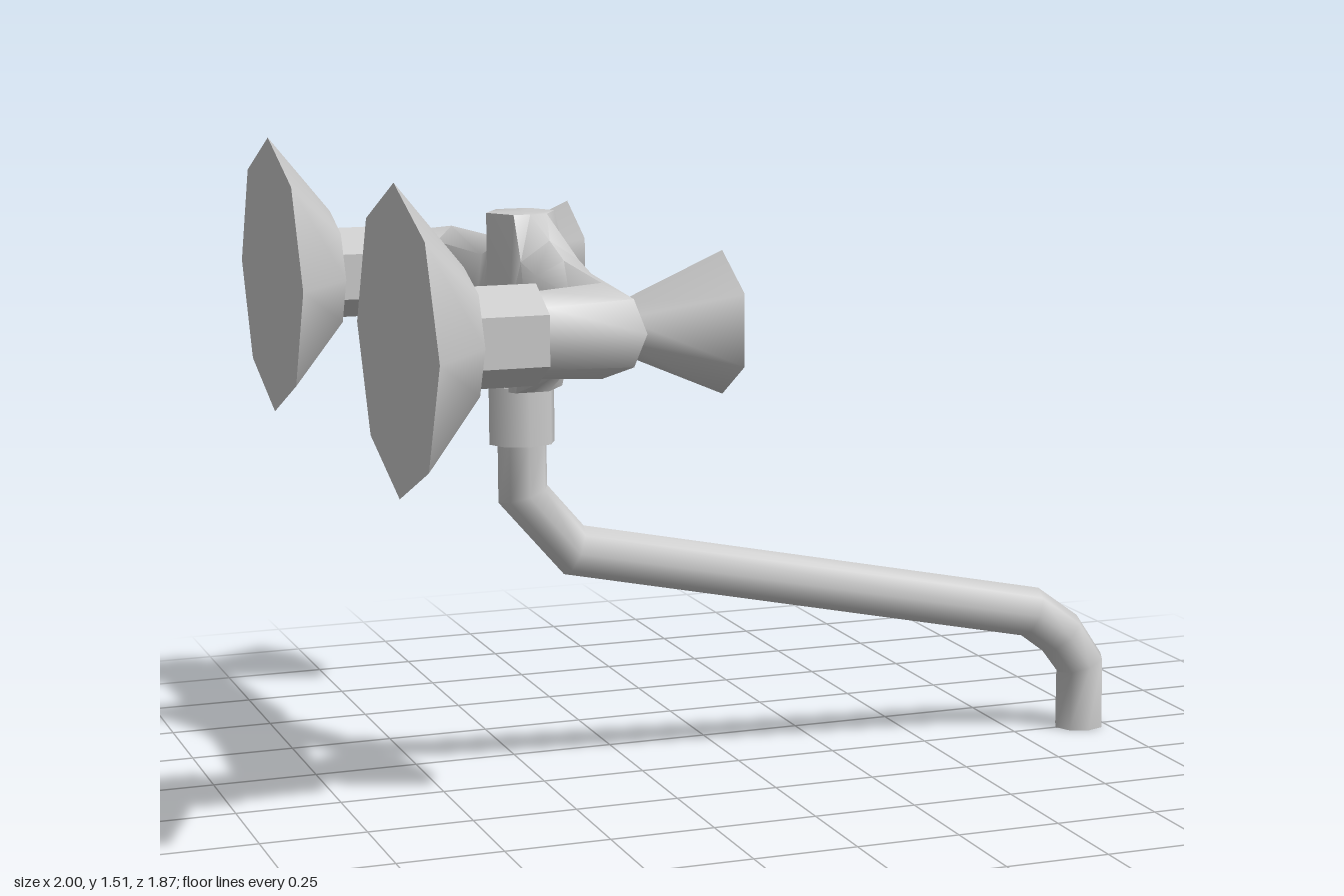
import * as THREE from 'three';
import { toCreasedNormals } from 'three/addons/utils/BufferGeometryUtils.js';

const SIDES = 8;
const AXIS_Y = 1.175;
const grey = new THREE.MeshStandardMaterial({ color: 0xcccccc });
const greyFlat = new THREE.MeshStandardMaterial({ color: 0xcccccc, flatShading: true });

// Makes one ring of points from a rule of cos and sin
function ring(rule) {
  return Array.from({ length: SIDES }, (_, i) => {
    const a = (i / SIDES) * Math.PI * 2;
    return new THREE.Vector3(...rule(Math.cos(a), Math.sin(a)));
  });
}

// Skins a run of rings and closes both ends
function loft(rings) {
  const pos = [];
  const tri = (...pts) => pts.forEach((p) => pos.push(p.x, p.y, p.z));
  const middle = (r) => r.reduce((s, p) => s.add(p), new THREE.Vector3()).divideScalar(SIDES);
  const last = rings[rings.length - 1];
  const startMid = middle(rings[0]);
  const endMid = middle(last);
  for (let j = 0; j < SIDES; j++) {
    const k = (j + 1) % SIDES;
    for (let i = 0; i < rings.length - 1; i++) {
      const a = rings[i], b = rings[i + 1];
      tri(a[j], b[j], a[k]);
      tri(a[k], b[j], b[k]);
    }
    tri(startMid, rings[0][j], rings[0][k]);
    tri(endMid, last[k], last[j]);
  }
  const geo = new THREE.BufferGeometry();
  geo.setAttribute('position', new THREE.Float32BufferAttribute(pos, 3));
  return toCreasedNormals(geo, 0.95);
}

function part(name, geo, material = grey) {
  const mesh = new THREE.Mesh(geo, material);
  mesh.name = name;
  return mesh;
}

// Cone or prism lying along x, with a corner at the top
function alongX(name, x0, x1, r0, r1, sides, z, material) {
  const geo = new THREE.CylinderGeometry(r1, r0, x1 - x0, sides, 1, false, Math.PI / 2);
  geo.rotateZ(-Math.PI / 2);
  const mesh = part(name, geo, material);
  mesh.position.set((x0 + x1) / 2, AXIS_Y, z);
  return mesh;
}

// Valve body: elbow, arm and blocky middle, mirrored in z
function bodyGeometry() {
  const blockRing = (xs, z) => {
    const ys = [1.18, 1.375, 1.375, 1.375, 1.18, 0.96, 0.96, 0.96];
    return xs.map((x, i) => new THREE.Vector3(x, ys[i], z));
  };
  const half = [
    ring((c, s) => [-0.69, AXIS_Y + 0.095 * s, 0.597 + 0.088 * c]),
    ring((c, s) => [-0.542 + 0.077 * c, AXIS_Y + 0.105 * s, 0.59 + 0.08 * c]),
    ring((c, s) => [-0.508 + 0.093 * c, 1.172 + 0.112 * s, 0.22]),
    ring((c, s) => [-0.513 + 0.098 * c, 1.16 + 0.16 * s, 0.13]),
    blockRing([-0.415, -0.5, -0.54, -0.58, -0.615, -0.58, -0.54, -0.5], 0.07),
  ];
  const centre = blockRing([-0.415, -0.46, -0.54, -0.625, -0.625, -0.625, -0.54, -0.445], 0);
  const mirrored = half.map((r) => r.map((p) => new THREE.Vector3(p.x, p.y, -p.z))).reverse();
  return loft([...half, centre, ...mirrored]);
}

// Swivel spout: each station gives the outer and inner edge and the half width
function spoutGeometry() {
  const stations = [
    [-0.485, 0.85, -0.605, 0.85, 0.058],
    [-0.485, 0.725, -0.605, 0.69, 0.058],
    [-0.395, 0.62, -0.445, 0.505, 0.058],
    [0.81, 0.37, 0.765, 0.25, 0.06],
    [0.92, 0.29, 0.825, 0.205, 0.067],
    [0.99, 0.185, 0.87, 0.145, 0.062],
    [0.995, 0, 0.867, 0, 0.058],
  ];
  return loft(stations.map(([ox, oy, ix, iy, w]) => ring((c, s) => [
    (ox + ix) / 2 + ((ox - ix) / 2) * c,
    (oy + iy) / 2 + ((oy - iy) / 2) * c,
    -w * s,
  ])));
}

export function createModel() {
  const model = new THREE.Group();
  model.name = 'wallMixerTap';

  model.add(part('valveBody', bodyGeometry()));
  model.add(part('spout', spoutGeometry()));

  // Collar joining body and spout
  const collar = part('spoutCollar', new THREE.CylinderGeometry(0.08, 0.08, 0.14, SIDES));
  collar.scale.z = 0.85;
  collar.position.set(-0.545, 0.9, 0);
  model.add(collar);

  // Wall flange, nut and handle on each side
  for (const [side, sign] of [['left', 1], ['right', -1]]) {
    model.add(alongX(side + 'WallFlange', -1, -0.85, 0.338, 0.153, 8, sign * 0.595));
    model.add(alongX(side + 'HexNut', -0.86, -0.69, 0.111, 0.111, 6, sign * 0.592, greyFlat));
    model.add(alongX(side + 'Handle', -0.5, -0.25, 0.052, 0.16, 6, sign * 0.554));
  }
  return model;
}
